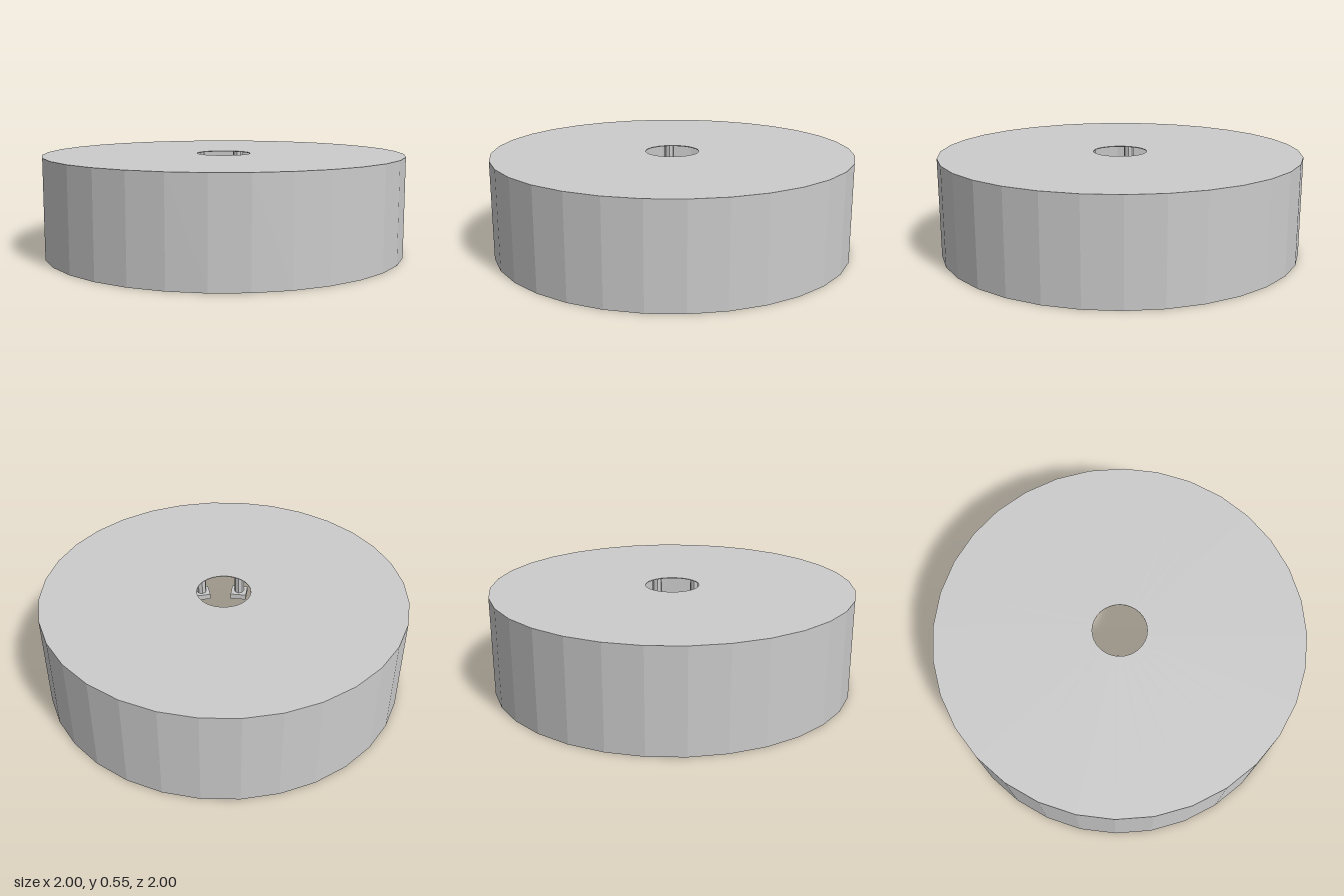
import * as THREE from 'three';

const HEIGHT = 0.545, SIDES = 32, COLUMNS = 19, RING = 0.75;

export function createModel() {
  const model = new THREE.Group();
  const material = new THREE.MeshStandardMaterial({ color: 0xcccccc, flatShading: true, side: THREE.DoubleSide });

  const add = (parent, name, geometry, y = 0) => {
    const mesh = new THREE.Mesh(geometry, material);
    mesh.name = name;
    mesh.position.y = y;
    parent.add(mesh);
  };

  // Drum: thin wall and thin roof with a round opening, open underneath
  const profile = [
    [0.148, HEIGHT - 0.004], [0.982, HEIGHT - 0.004], [0.982, 0],
    [1, 0], [1, HEIGHT], [0.148, HEIGHT], [0.148, HEIGHT - 0.004],
  ].map(([r, y]) => new THREE.Vector2(r, y));
  add(model, 'wallAndRoof', new THREE.LatheGeometry(profile, SIDES));

  // Ring of columns, each with a square base and capital facing the middle
  const slab = new THREE.BoxGeometry(0.1, 0.035, 0.1);
  const shaft = new THREE.CylinderGeometry(0.031, 0.031, HEIGHT - 0.07, 8);
  for (let i = 0; i < COLUMNS; i++) {
    const angle = (i / COLUMNS) * Math.PI * 2;
    const column = new THREE.Group();
    column.name = 'column' + (i + 1);
    column.position.set(Math.cos(angle) * RING, 0, Math.sin(angle) * RING);
    column.rotation.y = -angle;
    add(column, 'base', slab, 0.0175);
    add(column, 'shaft', shaft, HEIGHT / 2);
    add(column, 'capital', slab, HEIGHT - 0.0215);
    model.add(column);
  }

  // Small block in the middle of the hall
  add(model, 'centreBlock', new THREE.BoxGeometry(0.05, 0.05, 0.05), 0.025);

  return model;
}
